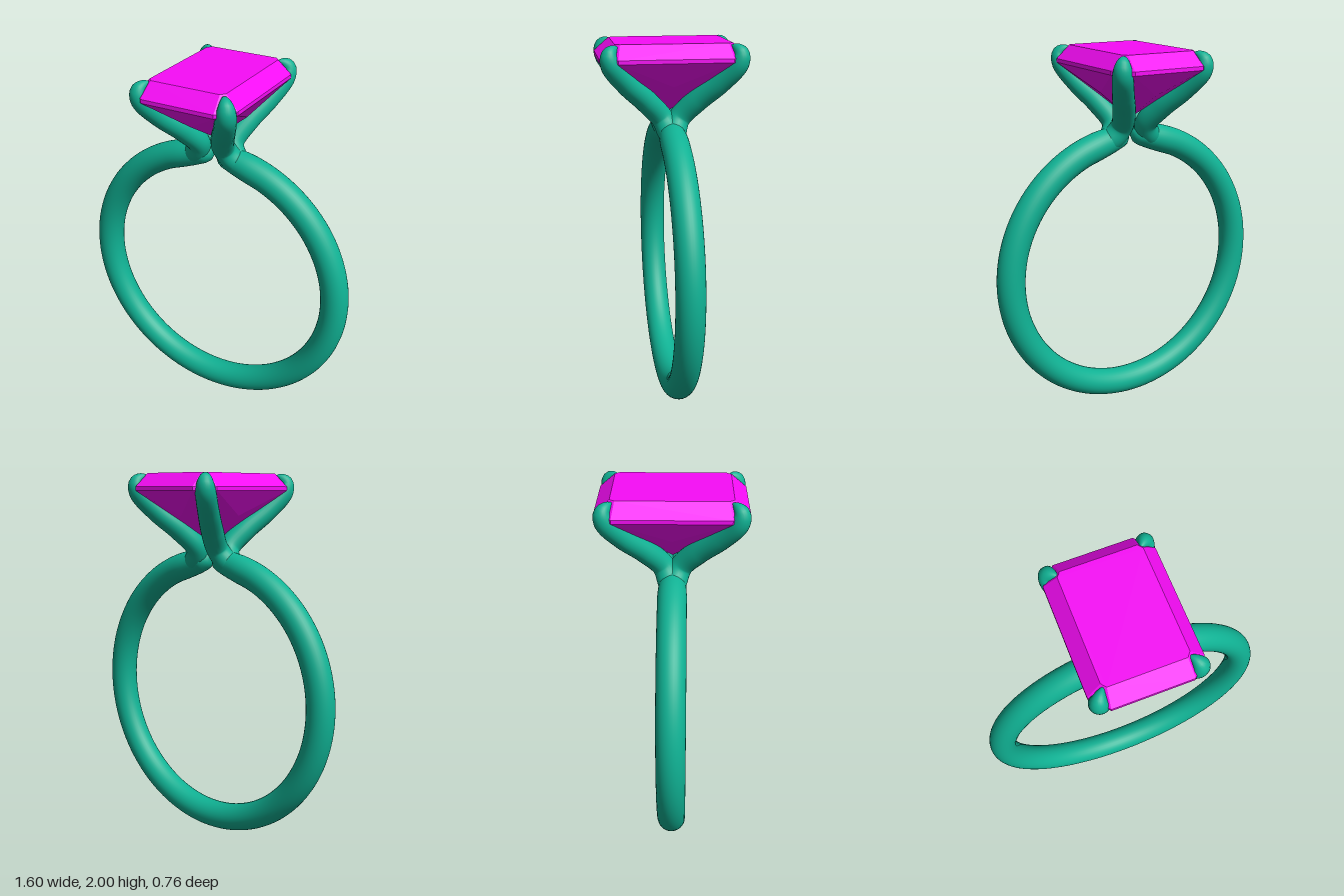
import * as THREE from 'three';
import { ConvexGeometry } from 'three/addons/geometries/ConvexGeometry.js';

const metal = new THREE.MeshStandardMaterial({ color: 0x10b294 });
const stone = new THREE.MeshStandardMaterial({ color: 0xf80cf8 });

// Round sweep through [x, y, z, radius] stations, smooth and welded around.
function sweep(stations, steps, sides) {
  const path = new THREE.CatmullRomCurve3(stations.map(([x, y, z]) => new THREE.Vector3(x, y, z)));
  const radii = new THREE.CatmullRomCurve3(
    stations.map((s) => new THREE.Vector3(s[3], 0, 0)), false, 'catmullrom', 0.5);
  path.arcLengthDivisions = steps * 4;
  const { normals, binormals } = path.computeFrenetFrames(steps, false);
  const position = [], index = [];
  for (let i = 0; i <= steps; i++) {
    const p = path.getPointAt(i / steps);
    const r = Math.max(0, radii.getPoint(path.getUtoTmapping(i / steps)).x);
    for (let j = 0; j < sides; j++) {
      const a = (j / sides) * Math.PI * 2;
      const v = p.clone()
        .addScaledVector(normals[i], r * Math.cos(a))
        .addScaledVector(binormals[i], r * Math.sin(a));
      position.push(v.x, v.y, v.z);
      if (i < steps) {
        const k = i * sides + j, n = i * sides + ((j + 1) % sides);
        index.push(k, n, k + sides, n, n + sides, k + sides);
      }
    }
  }
  const g = new THREE.BufferGeometry();
  g.setAttribute('position', new THREE.Float32BufferAttribute(position, 3));
  g.setIndex(index);
  g.computeVertexNormals();
  return g;
}

// Rectangle with cut corners at height y.
function octagon(x, z, cutX, cutZ, y) {
  const points = [];
  for (const sx of [-1, 1]) for (const sz of [-1, 1]) {
    points.push(new THREE.Vector3(sx * (x - cutX), y, sz * z));
    points.push(new THREE.Vector3(sx * x, y, sz * (z - cutZ)));
  }
  return points;
}

export function createModel() {
  const group = new THREE.Group();
  const add = (name, geometry, material) => {
    const mesh = new THREE.Mesh(geometry, material);
    mesh.name = name;
    group.add(mesh);
  };

  // Band: open hoop whose two ends turn up under the stone
  const shoulder = [[0.05, 1.585, 0, 0], [0.046, 1.57, 0, 0.035], [0.065, 1.547, 0, 0.064], [0.11, 1.525, 0, 0.068]];
  const hoop = [];
  for (let deg = 74; deg >= -254; deg -= 8) {
    const a = THREE.MathUtils.degToRad(deg);
    hoop.push([0.725 * Math.cos(a), 0.8 + 0.725 * Math.sin(a), 0, 0.075]);
  }
  const otherShoulder = shoulder.map(([x, y, z, r]) => [-x, y, z, r]).reverse();
  add('band', sweep([...shoulder, ...hoop, ...otherShoulder], 280, 32), metal);

  // Four prongs: each grows out of a band end and hooks over a stone corner
  const prong = [
    [0.2, 1.495, 0, 0.05], [0.115, 1.532, 0.014, 0.062], [0.075, 1.6, 0.045, 0.06],
    [0.115, 1.7, 0.135, 0.06], [0.183, 1.8, 0.242, 0.056], [0.235, 1.9, 0.323, 0.052],
    [0.24, 1.95, 0.332, 0.042], [0.222, 1.978, 0.31, 0.024], [0.198, 1.988, 0.283, 0],
  ];
  for (const sx of [-1, 1]) for (const sz of [-1, 1]) {
    const path = prong.map(([x, y, z, r]) => [sx * x, y, sz * z, r]);
    add(`${sz > 0 ? 'front' : 'back'}${sx > 0 ? 'Left' : 'Right'}Prong`, sweep(path, 64, 24), metal);
  }

  // Faceted stone: table, girdle band, pavilion break points and bottom tip
  const facets = [
    ...octagon(0.21, 0.3, 0.02, 0.025, 2),
    ...octagon(0.28, 0.38, 0.08, 0.09, 1.93),
    ...octagon(0.28, 0.38, 0.08, 0.09, 1.91),
    new THREE.Vector3(0, 1.63, 0),
  ];
  for (const s of [-1, 1]) {
    facets.push(new THREE.Vector3(0, 1.78, s * 0.25), new THREE.Vector3(s * 0.18, 1.78, 0));
  }
  add('stone', new ConvexGeometry(facets), stone);

  return group;
}
